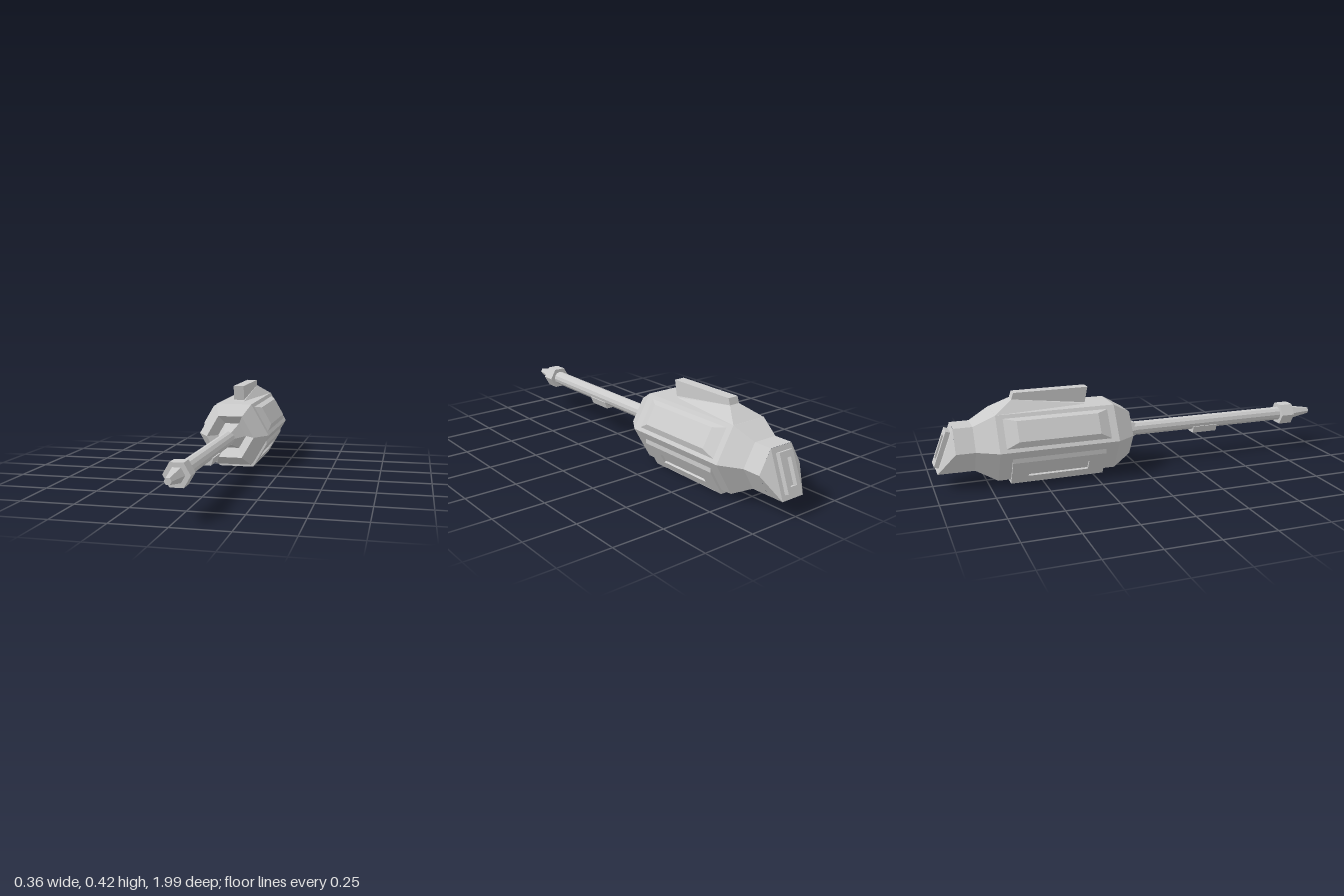
import * as THREE from 'three';
import { ConvexGeometry } from 'three/addons/geometries/ConvexGeometry.js';

const CY = 0.18; // height of the long axis
const V = (x, y, z) => new THREE.Vector3(x, y, z);

export function createModel() {
  const model = new THREE.Group();
  model.name = 'device';
  const mat = new THREE.MeshStandardMaterial({ color: 0xcccccc, flatShading: true });

  const add = (name, geo) => {
    const mesh = new THREE.Mesh(geo, mat);
    mesh.name = name;
    model.add(mesh);
    return mesh;
  };
  // faceted turned part along z; profile is [radius, z] running forwards
  const turned = (name, sides, profile) => {
    const pts = profile.map(([r, z]) => new THREE.Vector2(r, z));
    const geo = new THREE.LatheGeometry(pts, sides, Math.PI / 6);
    geo.rotateX(Math.PI / 2).translate(0, CY, 0);
    return add(name, geo.toNonIndexed());
  };
  const hull = (name, pts) => add(name, new ConvexGeometry(pts));
  // flat plate with a rectangular slot: w across, h along v, rising along n
  const slottedPlate = (name, w, h, depth, slotW, slotH, pos, v, n) => {
    const rect = (path, a, b) => path.moveTo(-a / 2, -b / 2).lineTo(a / 2, -b / 2)
      .lineTo(a / 2, b / 2).lineTo(-a / 2, b / 2).closePath();
    const shape = new THREE.Shape();
    rect(shape, w, h);
    const hole = new THREE.Path();
    rect(hole, slotW, slotH);
    shape.holes.push(hole);
    const mesh = add(name, new THREE.ExtrudeGeometry(shape, { depth, bevelEnabled: false }));
    const u = v.clone().cross(n);
    mesh.setRotationFromMatrix(new THREE.Matrix4().makeBasis(u, v, n));
    mesh.position.copy(pos);
  };

  // hexagonal body with a funnel-shaped front opening
  turned('body', 6, [[0.122, -0.9], [0.122, -0.81], [0.182, -0.71], [0.182, -0.14],
    [0.122, -0.05], [0.06, -0.11]]);

  // slanted rear end
  const rear = [];
  for (const s of [1, -1]) {
    rear.push(V(s * 0.122, CY, -0.9), V(s * 0.061, 0.285, -0.9),
      V(s * 0.061, 0.075, -0.9), V(s * 0.061, 0.075, -0.98));
  }
  hull('rearEnd', rear);
  const slope = V(0, 0.21, 0.08).normalize();
  slottedPlate('rearPlate', 0.08, 0.177, 0.022, 0.038, 0.12, V(0, CY, -0.94),
    slope, V(0, slope.z, -slope.y));

  // barrel with flared root, hexagonal collar and tapered tip
  turned('barrelRoot', 6, [[0.074, -0.1], [0.036, 0.0]]);
  turned('barrel', 12, [[0.035, -0.06], [0.035, 0.83]]);
  turned('collar', 6, [[0.001, 0.815], [0.059, 0.815], [0.059, 0.885], [0.001, 0.885]]);
  turned('tip', 6, [[0.037, 0.88], [0.016, 1.0], [0.0005, 1.0]]);

  // clamp under the barrel
  const clamp = [];
  for (const z of [0.31, 0.44]) {
    for (const s of [1, -1]) clamp.push(V(s * 0.025, 0.13, z), V(s * 0.038, 0.165, z));
  }
  hull('barrelClamp', clamp);

  // top fin and the wedge that carries it
  const fin = [], wedge = [];
  for (const s of [1, -1]) {
    const x = s * 0.027;
    fin.push(V(x, 0.42, -0.25), V(x, 0.345, -0.265), V(x, 0.39, -0.62), V(x, 0.42, -0.61));
    wedge.push(V(x, 0.337, -0.26), V(x, 0.39, -0.62), V(s * 0.091, 0.337, -0.71));
  }
  hull('topFin', fin);
  hull('finWedge', wedge);

  // raised panels
  const along = V(0, 0, 1);
  for (const s of [1, -1]) {
    const side = s > 0 ? 'left' : 'right';
    // bevelled upper panel
    const n = V(s * 0.866, 0.5, 0), t = V(-s * 0.5, 0.866, 0);
    const pts = [];
    for (const [d, half, z0, z1] of [[0.155, 0.075, -0.17, -0.685], [0.179, 0.05, -0.23, -0.62]]) {
      for (const k of [-half, half]) {
        for (const z of [z0, z1]) {
          pts.push(V(0, CY, z).addScaledVector(n, d).addScaledVector(t, k));
        }
      }
    }
    hull(side + 'UpperPanel', pts);

    // slotted lower panel with a lip along its upper edge
    slottedPlate(side + 'LowerPanel', 0.139, 0.45, 0.012, 0.055, 0.29,
      V(s * 0.1146, 0.066, -0.425), along, V(s * 0.866, -0.5, 0));
    const lip = [];
    for (const z of [-0.2, -0.65]) {
      lip.push(V(s * 0.16, 0.12, z), V(s * 0.16, 0.142, z), V(s * 0.148, 0.126, z));
    }
    hull(side + 'PanelLip', lip);
  }
  slottedPlate('bottomPanel', 0.182, 0.45, 0.024, 0.055, 0.29,
    V(0, 0.024, -0.425), along, V(0, -1, 0));

  return model;
}
